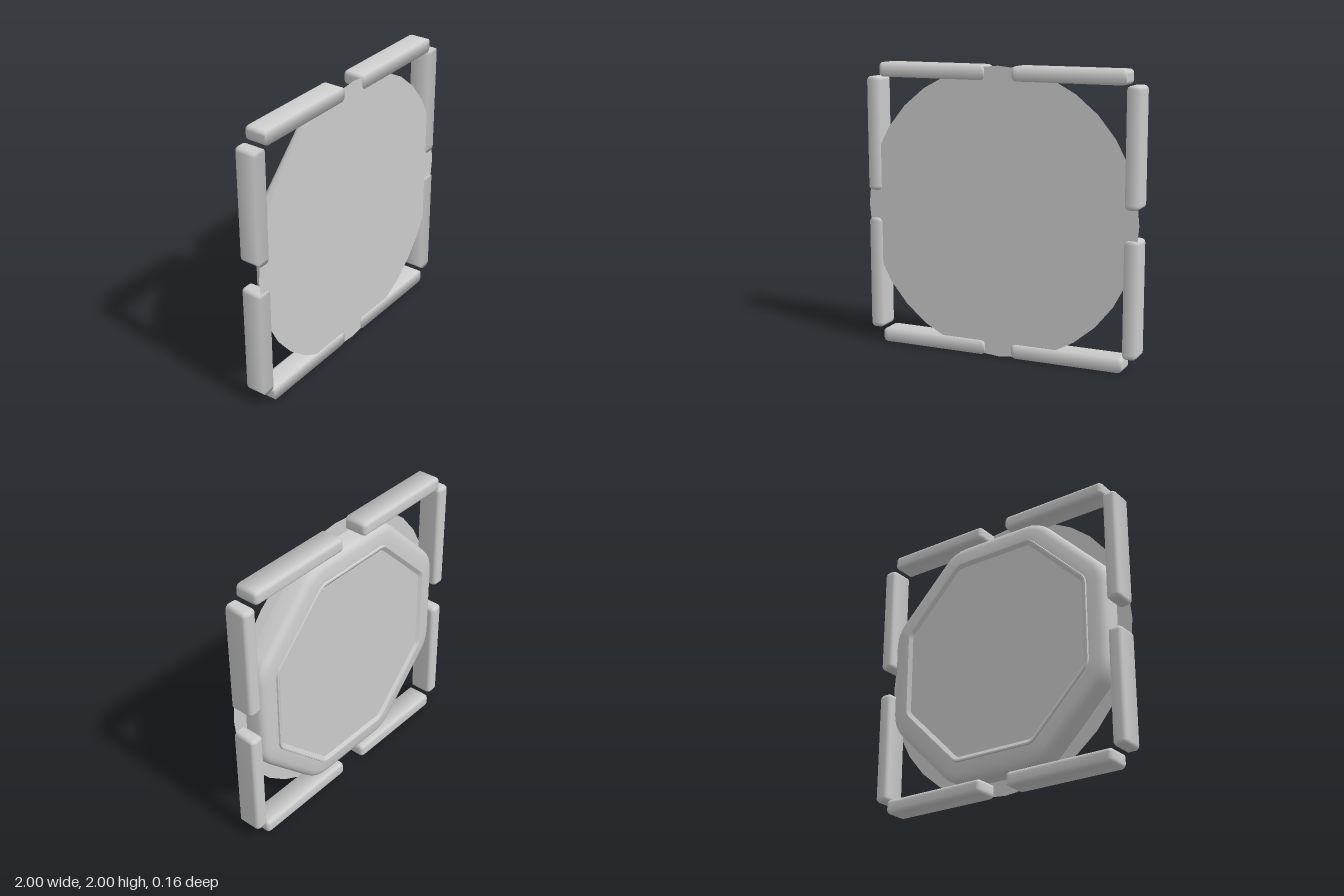
import * as THREE from 'three';
import { toCreasedNormals } from 'three/addons/utils/BufferGeometryUtils.js';

const material = new THREE.MeshStandardMaterial({ color: 0xcccccc });
const doubleMaterial = new THREE.MeshStandardMaterial({ color: 0xcccccc, side: THREE.DoubleSide });

// Outline of an n-sided polygon with rounded corners; hx, hy are half sizes
function roundedOutline(n, hx, hy, r, steps) {
  const points = [];
  for (let k = 0; k < n; k++) {
    const mid = ((k + 0.5) * 2 * Math.PI) / n;
    const s = 1 / Math.cos(Math.PI / n);
    for (let i = 0; i <= steps; i++) {
      const a = ((k + i / steps) * 2 * Math.PI) / n;
      points.push([
        Math.cos(mid) * s * (hx - r) + Math.cos(a) * r,
        Math.sin(mid) * s * (hy - r) + Math.sin(a) * r,
      ]);
    }
  }
  return points;
}

// Smooth skin between outlines running from front to back, with a cap at each end
function loft(rings) {
  const positions = [], index = [];
  const count = rings[0].points.length;
  const last = (rings.length - 1) * count;
  for (const { points, z } of rings) for (const [x, y] of points) positions.push(x, y, z);
  for (let i = 0; i < count; i++) {
    const j = (i + 1) % count;
    for (let k = 0; k < rings.length - 1; k++) {
      const a = k * count + i, b = k * count + j;
      index.push(a, a + count, b, b, a + count, b + count);
    }
  }
  // Caps are strips zigzagging between the two halves of the outline
  const capTriangle = (a, b, c) => index.push(a, b, c, last + a, last + c, last + b);
  for (let i = 0, j = count - 1; i + 1 < j; i++, j--) {
    capTriangle(i, i + 1, j);
    if (i + 1 < j - 1) capTriangle(i + 1, j - 1, j);
  }
  const geometry = new THREE.BufferGeometry();
  geometry.setAttribute('position', new THREE.Float32BufferAttribute(positions, 3));
  geometry.setIndex(index);
  geometry.computeVertexNormals();
  return geometry;
}

export function createModel() {
  const model = new THREE.Group();
  model.name = 'framedPanel';
  const add = (name, geometry, x, y, z, mat = material) => {
    const mesh = new THREE.Mesh(geometry, mat);
    mesh.name = name;
    mesh.position.set(x, y, z);
    model.add(mesh);
    return mesh;
  };

  // Thin round plate closing the front
  add('frontDisc', new THREE.CircleGeometry(1, 32), 0, 1, 0.0795, doubleMaterial);

  // Octagonal body: wall, rounded band, raised lip, slightly sunken flat back
  const profile = [ // apothem, z, corner radius
    [0.89, 0.079, 0.25], [0.886, -0.02, 0.25], [0.877, -0.042, 0.24],
    [0.859, -0.057, 0.22], [0.831, -0.066, 0.19], [0.754, -0.07, 0.1],
    [0.75, -0.081, 0.1], [0.74, -0.081, 0.09], [0.714, -0.063, 0.05],
  ];
  const body = loft(profile.map(([a, z, r]) => ({ points: roundedOutline(8, a, a, r, 4), z })));
  add('octagonBody', toCreasedNormals(body, 0.55), 0, 1, 0);

  // Edge bars: flat at the front, rounded over at the back
  const barRings = [{ points: roundedOutline(4, 0.4, 0.05, 0.03, 4), z: 0.081 }];
  for (let i = 0; i <= 3; i++) {
    const t = (i / 3) * Math.PI / 2;
    const inset = 0.027 * (1 - Math.cos(t));
    barRings.push({
      points: roundedOutline(4, 0.4 - inset, 0.05 - inset, 0.03 - inset, 4),
      z: -0.05 - 0.027 * Math.sin(t),
    });
  }
  const bar = loft(barRings);
  for (const a of [-1, 1]) {
    for (const b of [-1, 1]) {
      const side = b > 0 ? 'Left' : 'Right';
      add((a > 0 ? 'top' : 'bottom') + 'Bar' + side, bar, b * 0.5, 1 + a * 0.95, 0);
      const upright = add((a > 0 ? 'upper' : 'lower') + 'SideBar' + side, bar, b * 0.95, 1 + a * 0.5, 0);
      upright.rotation.z = Math.PI / 2;
    }
  }
  return model;
}
